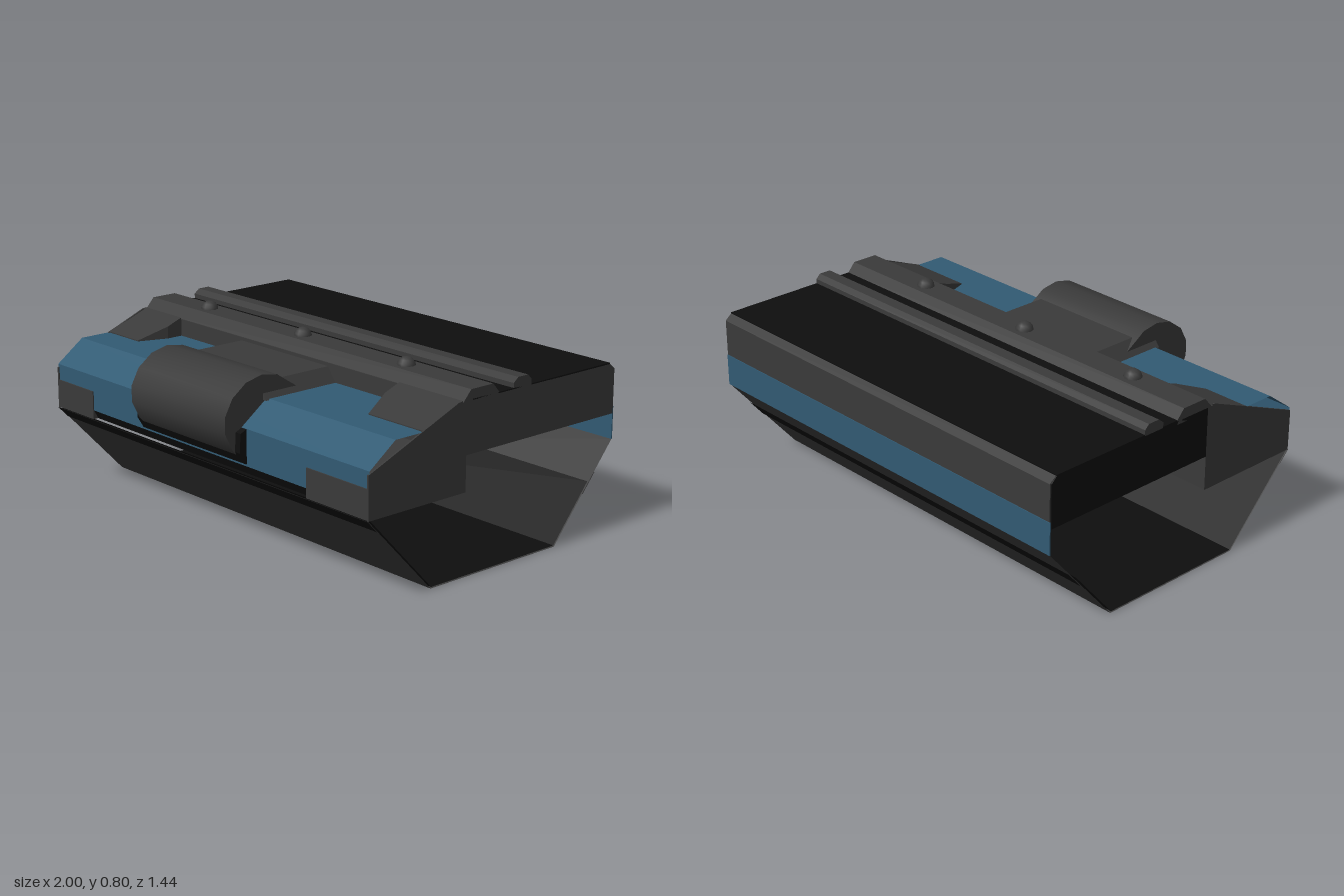
import * as THREE from 'three';
import { toCreasedNormals } from 'three/addons/utils/BufferGeometryUtils.js';

const material = (name, color) => {
  const m = new THREE.MeshStandardMaterial({ color, side: THREE.DoubleSide });
  m.name = name;
  return m;
};

export function createModel() {
  const group = new THREE.Group();
  const grey = material('charcoal grey', 0x3a3a3a);
  const black = material('black', 0x0e0e0e);
  const blue = material('steel blue', 0x315a73);
  const mid = -0.045; // middle of the stud row and of the front drum

  const add = (name, geometry, mat) => {
    const mesh = new THREE.Mesh(geometry, mat);
    mesh.name = name;
    group.add(mesh);
    return mesh;
  };

  // Solid with a [z, y] outline, running along x
  const slab = (name, points, x0, x1, mat, crease = 0) => {
    const shape = new THREE.Shape(points.map(([z, y]) => new THREE.Vector2(-z, y)));
    let g = new THREE.ExtrudeGeometry(shape, { depth: x1 - x0, bevelEnabled: false });
    g.rotateY(Math.PI / 2);
    g.translate(x0, 0, 0);
    if (crease) g = toCreasedNormals(g, crease);
    return add(name, g, mat);
  };

  // Open folded sheet with a [z, y] outline, running along x.
  // Points go from the front downwards and round to the back, facing outwards.
  const sheet = (name, points, mat, x0 = -1, x1 = 1) => {
    const position = [];
    for (let i = 0; i < points.length - 1; i++) {
      const [za, ya] = points[i], [zb, yb] = points[i + 1];
      position.push(x0, ya, za, x0, yb, zb, x1, yb, zb, x0, ya, za, x1, yb, zb, x1, ya, za);
    }
    const g = new THREE.BufferGeometry();
    g.setAttribute('position', new THREE.Float32BufferAttribute(position, 3));
    g.computeVertexNormals();
    return add(name, g, mat);
  };

  // Rear body with its black deck
  slab('rearBody', [[0.155, 0.5], [0.155, 0.715], [-0.69, 0.715], [-0.72, 0.69], [-0.72, 0.5]], -0.995, 1, grey);
  slab('deckPlate', [[0.1, 0.714], [0.1, 0.72], [-0.69, 0.72], [-0.69, 0.714]], -1, 1, black);
  slab('rearEndPlate', [[0.13, 0.5], [0.13, 0.715], [-0.69, 0.715], [-0.715, 0.69], [-0.715, 0.5]], -1, -0.994, black);

  // Ridges along the top
  slab('frontRidge', [[0.155, 0.7], [0.155, 0.71], [0.11, 0.76], [-0.01, 0.76], [-0.045, 0.72], [-0.045, 0.7]], -1, 1, grey);
  slab('rearRidge', [[-0.125, 0.7], [-0.125, 0.74], [-0.15, 0.76], [-0.205, 0.76], [-0.225, 0.74], [-0.225, 0.7]], -1, 1, grey);
  for (const x of [-0.625, 0, 0.625]) {
    const stud = add('stud', new THREE.SphereGeometry(0.04, 10, 4, 0, Math.PI * 2, 0, Math.PI / 2), grey);
    stud.position.set(mid + x, 0.755, 0.05);
  }

  // Blue front shell and the dark seam under it
  sheet('frontShell', [[0.155, 0.64], [0.505, 0.64], [0.635, 0.545], [0.635, 0.39]], blue);
  sheet('shellSeam', [[0.635, 0.39], [0.615, 0.352]], black);

  // Back band and open lower hull
  sheet('backWall', [[-0.72, 0.39], [-0.72, 0.5]], grey);
  slab('backStripe', [[-0.718, 0.39], [-0.718, 0.53], [-0.723, 0.53], [-0.723, 0.39]], -1, 1, blue);
  sheet('lowerHull', [[0.64, 0.35], [0.31, 0], [-0.39, 0], [-0.72, 0.39]], grey);
  sheet('hullLining', [[0.63, 0.35], [0.307, 0.006], [-0.386, 0.006], [-0.58, 0.237]], black);
  sheet('frontHullStripe', [[0.643, 0.349], [0.596, 0.299]], black);
  sheet('backHullStripe', [[-0.554, 0.188], [-0.622, 0.268]], black);

  // End caps, corner blocks and chamfered cheeks
  const cap = [[0.64, 0.35], [0.64, 0.53], [0.17, 0.72], [0.155, 0.715], [0.13, 0.7], [0.13, 0.35]];
  const block = [[0.64, 0.352], [0.64, 0.475], [0.13, 0.5], [0.13, 0.352]];
  for (const side of [-1, 1]) {
    const inner = mid + side * 0.695;
    slab('endCap', cap, side > 0 ? 0.992 : -1, side > 0 ? 1 : -0.992, grey);
    slab('cornerBlock', block, Math.min(inner, side), Math.max(inner, side), grey);

    // Cheek: plan outline pushed up, its top tilted down to the front
    const plan = [[side, 0.155], [inner, 0.155], [inner, 0.23], [inner + side * 0.045, 0.36], [side, 0.36]];
    const shape = new THREE.Shape(plan.map(([x, z]) => new THREE.Vector2(x, -z)));
    const g = new THREE.ExtrudeGeometry(shape, { depth: 1, bevelEnabled: false });
    g.rotateX(-Math.PI / 2);
    const p = g.attributes.position;
    for (let i = 0; i < p.count; i++) {
      const top = 0.722 - (p.getZ(i) - 0.155) * 0.38;
      p.setY(i, p.getY(i) > 0.5 ? top : 0.635);
    }
    g.computeVertexNormals();
    add('cheek', g, grey);
  }

  // Drum on the front with its bracket and dark surround
  slab('drum', [
    [0.34, 0.655], [0.41, 0.7], [0.45, 0.727], [0.53, 0.74], [0.61, 0.722], [0.68, 0.67],
    [0.718, 0.6], [0.718, 0.53], [0.68, 0.455], [0.645, 0.42], [0.5, 0.42],
  ], mid - 0.305, mid + 0.305, grey, 0.75);
  slab('drumSurround', [[0.5, 0.4], [0.5, 0.6], [0.6, 0.56], [0.665, 0.53], [0.67, 0.45], [0.64, 0.4]], mid - 0.335, mid + 0.335, black);

  // Bracket: box narrowing towards its top
  const bracket = new THREE.BoxGeometry(0.65, 0.065, 0.37);
  const bp = bracket.attributes.position;
  for (let i = 0; i < bp.count; i++) if (bp.getY(i) > 0) bp.setX(i, bp.getX(i) * 0.85);
  bracket.computeVertexNormals();
  add('drumBracket', bracket, grey).position.set(mid, 0.668, 0.34);

  return group;
}
